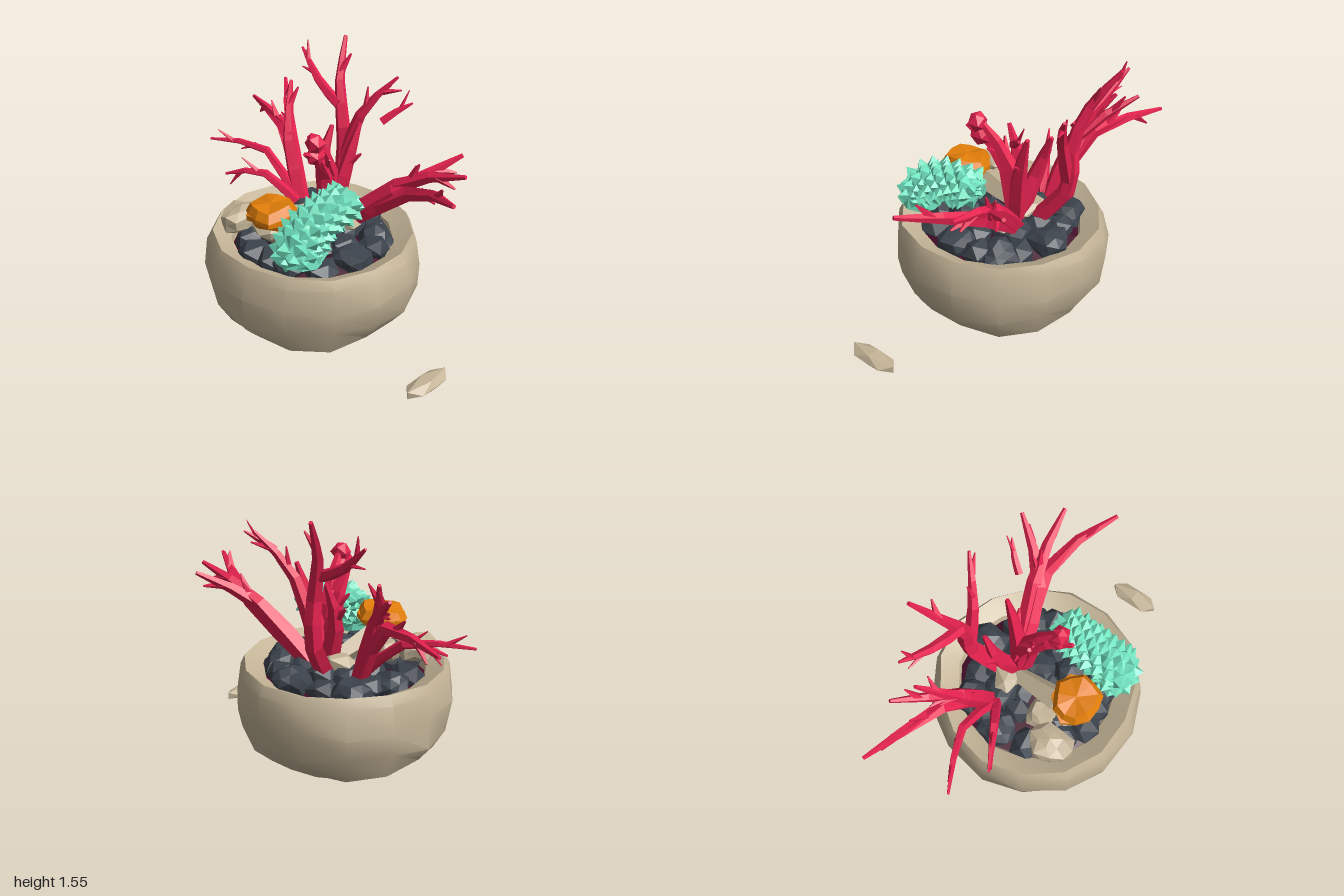
import * as THREE from 'three';
import { mergeGeometries, toCreasedNormals } from 'three/addons/utils/BufferGeometryUtils.js';

const V = (p) => new THREE.Vector3(...p);
const UP = new THREE.Vector3(0, 1, 0);
const mat = (name, color) => {
  const m = new THREE.MeshStandardMaterial({ color });
  m.name = name;
  return m;
};

// Faceted copy of a geometry
function facet(geo) {
  const g = geo.index ? geo.toNonIndexed() : geo;
  g.deleteAttribute('uv');
  g.computeVertexNormals();
  return g;
}

// Lump with a position-based wobble, so shared corners stay together
function rock(pos, size, seed, detail = 1) {
  const g = new THREE.IcosahedronGeometry(1, detail);
  const p = g.attributes.position;
  for (let i = 0; i < p.count; i++) {
    const v = new THREE.Vector3().fromBufferAttribute(p, i);
    const w = Math.sin(v.x * 5.1 + seed * 2.3) + Math.sin(v.y * 6.3 + seed * 1.7) + Math.sin(v.z * 5.7 + seed);
    v.multiplyScalar(1 + 0.085 * w);
    p.setXYZ(i, v.x, v.y, v.z);
  }
  return facet(g.scale(...size).translate(...pos));
}

// Faceted limb swept along a curve, with radius given by a function of t
function limb(curve, radius, steps = 4, sides = 5) {
  const pos = [], index = [];
  for (let i = 0; i <= steps; i++) {
    const t = i / steps, c = curve.getPointAt(t), tan = curve.getTangentAt(t);
    const u = new THREE.Vector3(0.3, 0.1, 1).cross(tan).normalize(), w = tan.clone().cross(u);
    for (let s = 0; s < sides; s++) {
      const k = (s / sides) * Math.PI * 2, r = radius(t);
      const q = c.clone().addScaledVector(u, Math.cos(k) * r).addScaledVector(w, Math.sin(k) * r);
      pos.push(q.x, q.y, q.z);
    }
  }
  for (let i = 0; i < steps; i++) for (let s = 0; s < sides; s++) {
    const a = i * sides + s, b = i * sides + (s + 1) % sides;
    index.push(a, b, a + sides, b, b + sides, a + sides);
  }
  for (let s = 1; s < sides - 1; s++) {
    const e = steps * sides;
    index.push(0, s + 1, s, e, e + s, e + s + 1);
  }
  const g = new THREE.BufferGeometry();
  g.setAttribute('position', new THREE.Float32BufferAttribute(pos, 3));
  g.setIndex(index);
  return facet(g);
}

// Coral limbs fanning from one root; each lists its later points and grows side twigs
function cluster(root, r, limbs, twigs = 2) {
  return limbs.flatMap((points, n) => {
    const curve = new THREE.CatmullRomCurve3([root, ...points].map(V));
    const out = [limb(curve, (t) => r * (1 - 0.78 * t * t), points.length * 2)];
    for (let i = 0; i < twigs; i++) {
      const t = 0.6 + 0.2 * i, from = curve.getPointAt(t), tan = curve.getTangentAt(t);
      const side = new THREE.Vector3(0, 0, 1).cross(tan).normalize().multiplyScalar((i + n) % 2 ? -0.7 : 0.7);
      const to = from.clone().addScaledVector(tan.add(side), 0.1);
      out.push(limb(new THREE.LineCurve3(from, to), (s) => r * (0.5 - 0.4 * s), 1, 4));
    }
    return out;
  });
}

export function createModel() {
  const group = new THREE.Group();
  const sand = mat('sandstone', 0xc4b497), slate = mat('slate', 0x3c434c), crimson = mat('crimson', 0xe6224f);
  const teal = mat('teal', 0x72e4c0), orange = mat('orange', 0xe27e0a), maroon = mat('maroon', 0x430d28);
  const add = (name, geo, m) => {
    const mesh = new THREE.Mesh(geo, m);
    mesh.name = name;
    group.add(mesh);
  };
  const cx = -0.055;

  // Stone bowl: outer wall, rim and sloping inner wall
  const profile = [[0, 0.005], [0.41, 0.005], [0.55, 0.09], [0.62, 0.22], [0.645, 0.38], [0.62, 0.53], [0.59, 0.585],
    [0.48, 0.53], [0.46, 0.45]].map((q) => new THREE.Vector2(...q));
  const bowl = new THREE.LatheGeometry(profile, 15);
  bowl.deleteAttribute('uv');
  bowl.deleteAttribute('normal');
  const bp = bowl.attributes.position;
  for (let i = 0; i < bp.count; i++) {
    const x = bp.getX(i), y = bp.getY(i), z = bp.getZ(i), a = Math.atan2(x, z);
    const k = 1 + 0.012 * Math.sin(3 * a + y * 9) + 0.009 * Math.sin(5 * a - y * 14);
    const lift = y > 0.05 && y < 0.5 ? 0.025 * Math.sin(4 * a + y * 20) : 0;
    bp.setXYZ(i, x * k + cx, y + lift, z * k);
  }
  add('bowl', toCreasedNormals(bowl, 0.55), sand);

  // Mounded bed inside the bowl
  const bed = new THREE.LatheGeometry([[0.49, 0.48], [0.35, 0.53], [0, 0.56]].map((q) => new THREE.Vector2(...q)), 15);
  add('bed', facet(bed.translate(cx, 0, 0)), maroon);

  // Dark pebbles in an outer and an inner ring
  const pebbles = [];
  for (const [count, ring, y] of [[15, 0.375, 0.53], [8, 0.22, 0.555], [3, 0.08, 0.55]]) {
    for (let i = 0; i < count; i++) {
      const a = (i / count) * Math.PI * 2 + 0.1 * Math.sin(i * 5), r = ring + 0.02 * Math.sin(i * 3.7);
      const s = 0.108 + 0.012 * Math.sin(i * 2.9);
      const at = [cx + r * Math.sin(a), y + 0.015 * Math.sin(i * 2), r * Math.cos(a)];
      pebbles.push(rock(at, [s, s * 0.75, s], i + count, i % 2));
    }
  }
  add('pebbles', mergeGeometries(pebbles), slate);

  // Pale rocks, a leaning wedge, and the loose stone outside
  const wedge = new THREE.LineCurve3(V([-0.15, 0.7, 0.19]), V([-0.08, 0.62, -0.17]));
  add('paleRocks', mergeGeometries([
    rock([-0.39, 0.65, 0.25], [0.115, 0.08, 0.14], 3),
    rock([-0.25, 0.63, 0.13], [0.09, 0.07, 0.09], 5),
    rock([-0.13, 0.68, 0.28], [0.12, 0.07, 0.11], 8),
    rock([-0.12, 0.62, -0.15], [0.14, 0.07, 0.08], 6, 0),
    rock([0.08, 0.61, -0.12], [0.12, 0.07, 0.07], 9, 0),
    limb(wedge, (t) => 0.08 - 0.035 * t, 2, 4),
  ]), sand);
  const loose = new THREE.IcosahedronGeometry(1, 0).scale(0.07, 0.042, 0.185).rotateY(-0.15);
  add('looseStone', facet(loose.translate(0.92, 0.05, 0.245)), sand);

  // Crimson branching coral
  add('rearCoral', mergeGeometries([
    ...cluster([-0.08, 0.58, -0.22], 0.055, [[[-0.13, 0.83, -0.4], [-0.14, 1.08, -0.4], [-0.21, 1.32, -0.46],
      [-0.28, 1.55, -0.61]]]),
    ...cluster([-0.13, 0.86, -0.39], 0.042, [[[0, 1.2, -0.41], [0.17, 1.42, -0.51]]]),
    ...cluster([-0.17, 1.2, -0.4], 0.035, [[[-0.35, 1.28, -0.45], [-0.55, 1.44, -0.53]]]),
    ...cluster([0.24, 1.25, -0.25], 0.024, [[[0.3, 1.31, -0.31], [0.37, 1.36, -0.36]]], 1),
  ]), crimson);
  add('leftRightCoral', mergeGeometries([
    ...cluster([-0.29, 0.58, -0.19], 0.05, [[[-0.44, 0.94, -0.25], [-0.58, 1.24, -0.45]],
      [[-0.53, 0.96, -0.32], [-1, 0.99, -0.57]], [[-0.45, 0.98, -0.28], [-0.7, 1.2, -0.54]]]),
    ...cluster([-0.29, 0.6, -0.15], 0.033, [[[-0.6, 0.86, -0.2], [-0.95, 0.87, -0.09]],
      [[-0.5, 0.79, -0.05], [-0.72, 0.74, 0.03]]]),
    ...cluster([0.05, 0.58, -0.16], 0.058, [[[0.4, 0.89, -0.21], [0.66, 1.09, -0.45]],
      [[0.52, 0.92, -0.19], [0.9, 1.06, 0.05]], [[0.45, 0.95, -0.24], [0.8, 1.08, -0.24]]]),
  ]), crimson);
  add('centerCoral', mergeGeometries([
    ...cluster([-0.02, 0.58, -0.12], 0.06, [[[0, 0.96, -0.08], [0.04, 1.22, 0.1]], [[0, 1, -0.02], [0.03, 1.15, 0.18]],
      [[-0.07, 0.95, -0.1], [-0.1, 1.15, -0.02]], [[0.05, 0.95, -0.18], [0.09, 1.2, -0.25]],
      [[-0.14, 0.9, -0.2], [-0.13, 1.12, -0.28]]], 1),
    rock([0.035, 1.19, 0.1], [0.055, 0.07, 0.055], 4, 0),
    rock([0.03, 1.11, 0.09], [0.055, 0.06, 0.07], 7, 0),
  ]), crimson);

  // Arched teal sponge covered with spikes, fullest at the front
  const path = new THREE.CatmullRomCurve3([[0.17, 0.63, 0.42], [0.165, 0.71, 0.41], [0.175, 0.8, 0.31],
    [0.19, 0.845, 0.18], [0.205, 0.86, 0.05]].map(V));
  const radius = (t) => (0.12 - 0.03 * t) * (t === 1 ? 0.75 : 1);
  const parts = [limb(path, radius, 8, 9)];
  const spike = (at, dir, w, h) => {
    const cone = new THREE.ConeGeometry(w, h, 4).translate(0, h * 0.3, 0);
    cone.applyQuaternion(new THREE.Quaternion().setFromUnitVectors(UP, dir));
    parts.push(facet(cone.translate(at.x, at.y, at.z)));
  };
  for (let i = 0; i < 110; i++) {
    const t = (i + 0.5) / 110, a = i * 2.39996, tan = path.getTangentAt(t);
    const n = new THREE.Vector3(1, 0, 0).cross(tan).normalize(), b = tan.clone().cross(n);
    const dir = n.multiplyScalar(Math.cos(a)).addScaledVector(b, Math.sin(a)).addScaledVector(tan, 0.25).normalize();
    spike(path.getPointAt(t).addScaledVector(dir, radius(t) * 0.92), dir, 0.052, 0.055 + 0.015 * Math.sin(i * 1.9));
  }
  const end = path.getPointAt(1), endDir = path.getTangentAt(1);
  for (let i = 0; i < 10; i++) {
    const a = i * 2.4;
    const dir = endDir.clone().add(new THREE.Vector3(Math.cos(a), Math.sin(a), 0).multiplyScalar(0.08 * i)).normalize();
    spike(end.clone().addScaledVector(dir, 0.01 + 0.004 * i), dir, 0.045, 0.06);
  }
  add('spikySponge', mergeGeometries(parts).translate(-0.19, 0, 0).scale(1.15, 1, 1).translate(0.19, 0, 0), teal);

  // Orange cap: a broad wavy skirt under a flat jagged crown
  const caps = [[0.735, 0.13, 0.11, 0.04, 1], [0.775, 0.15, 0.15, 0.03, 2], [0.815, 0.12, 0.15, 0.05, 3]];
  add('orangeCap', mergeGeometries(caps.map(([y, top, bottom, h, s]) => {
    const g = new THREE.CylinderGeometry(top, bottom, h, 11, 1);
    const p = g.attributes.position;
    for (let i = 0; i < p.count; i++) {
      const a = Math.atan2(p.getX(i), p.getZ(i)), k = 1 + 0.06 * Math.sin(5 * a + s * 2) + 0.05 * Math.sin(3 * a);
      p.setXYZ(i, p.getX(i) * k, p.getY(i) + 0.012 * Math.sin(3 * a + s), p.getZ(i) * k * 0.95);
    }
    return facet(g.rotateZ(0.08).translate(-0.13, y, 0.29));
  })), orange);
  return group;
}
